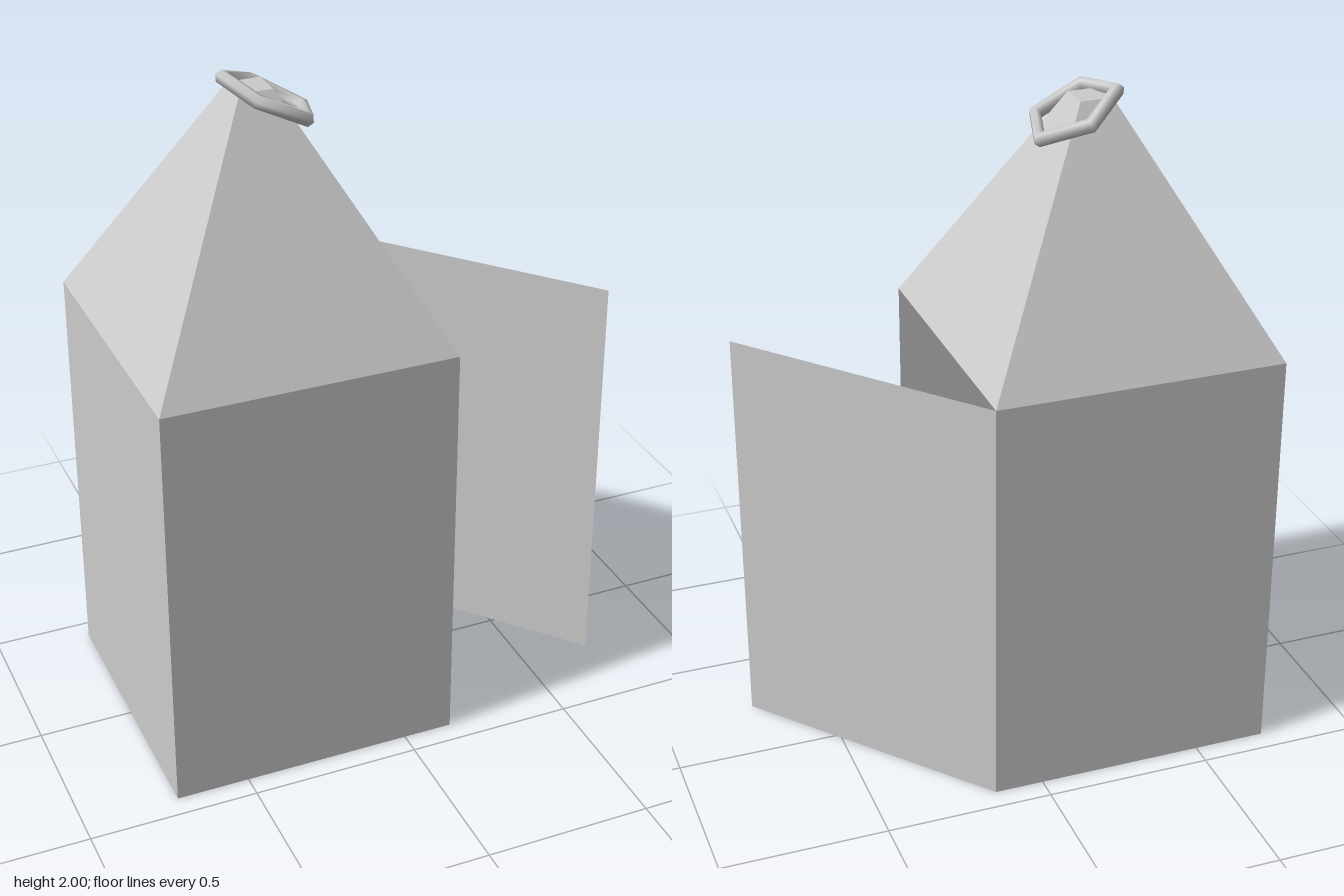
import * as THREE from 'three';

export function createModel() {
  const group = new THREE.Group();
  const grey = new THREE.MeshStandardMaterial({ color: 0xcccccc, side: THREE.DoubleSide });
  grey.name = 'plain grey';

  const cx = -0.285, half = 0.433, wallTop = 1.263;
  const capHalf = 0.048, capY = 1.963;

  function add(name, geometry) {
    const mesh = new THREE.Mesh(geometry, grey);
    mesh.name = name;
    group.add(mesh);
    return mesh;
  }

  // Flat panel from four corners, counter-clockwise seen from outside
  function panel(name, corners) {
    const g = new THREE.BufferGeometry();
    g.setAttribute('position', new THREE.Float32BufferAttribute(corners.flat(), 3));
    g.setIndex([0, 1, 2, 0, 2, 3]);
    g.computeVertexNormals();
    return add(name, g);
  }

  // Square ring of corners at a given height, going round from front left to back left
  const square = (h, y) => [
    [cx - h, y, h], [cx + h, y, h], [cx + h, y, -h], [cx - h, y, -h],
  ];
  const base = square(half, 0);
  const eaves = square(half, wallTop);
  const cap = square(capHalf, capY);

  // Walls and roof slopes; the +x wall is left open as the doorway
  ['front', 'doorSide', 'back', 'farSide'].forEach((side, i) => {
    const j = (i + 1) % 4;
    if (side !== 'doorSide') panel(side + 'Wall', [base[i], base[j], eaves[j], eaves[i]]);
    panel(side + 'Roof', [eaves[i], eaves[j], cap[j], cap[i]]);
  });
  panel('floor', [...base].reverse());
  panel('roofCap', cap);

  // Door swung out from the rear corner of the doorway
  const hinge = [cx + half, -half], edge = [0.717, 0.24];
  panel('door', [
    [edge[0], 0, edge[1]], [hinge[0], 0, hinge[1]],
    [hinge[0], wallTop, hinge[1]], [edge[0], wallTop, edge[1]],
  ]);

  // Five-sided ring tilted over the roof tip
  const ring = new THREE.TorusGeometry(0.134, 0.021, 6, 5);
  ring.rotateZ(Math.PI / 2).rotateX(-Math.PI / 2).rotateZ(-0.47);
  add('topRing', ring).position.set(-0.234, 1.923, 0);

  return group;
}
